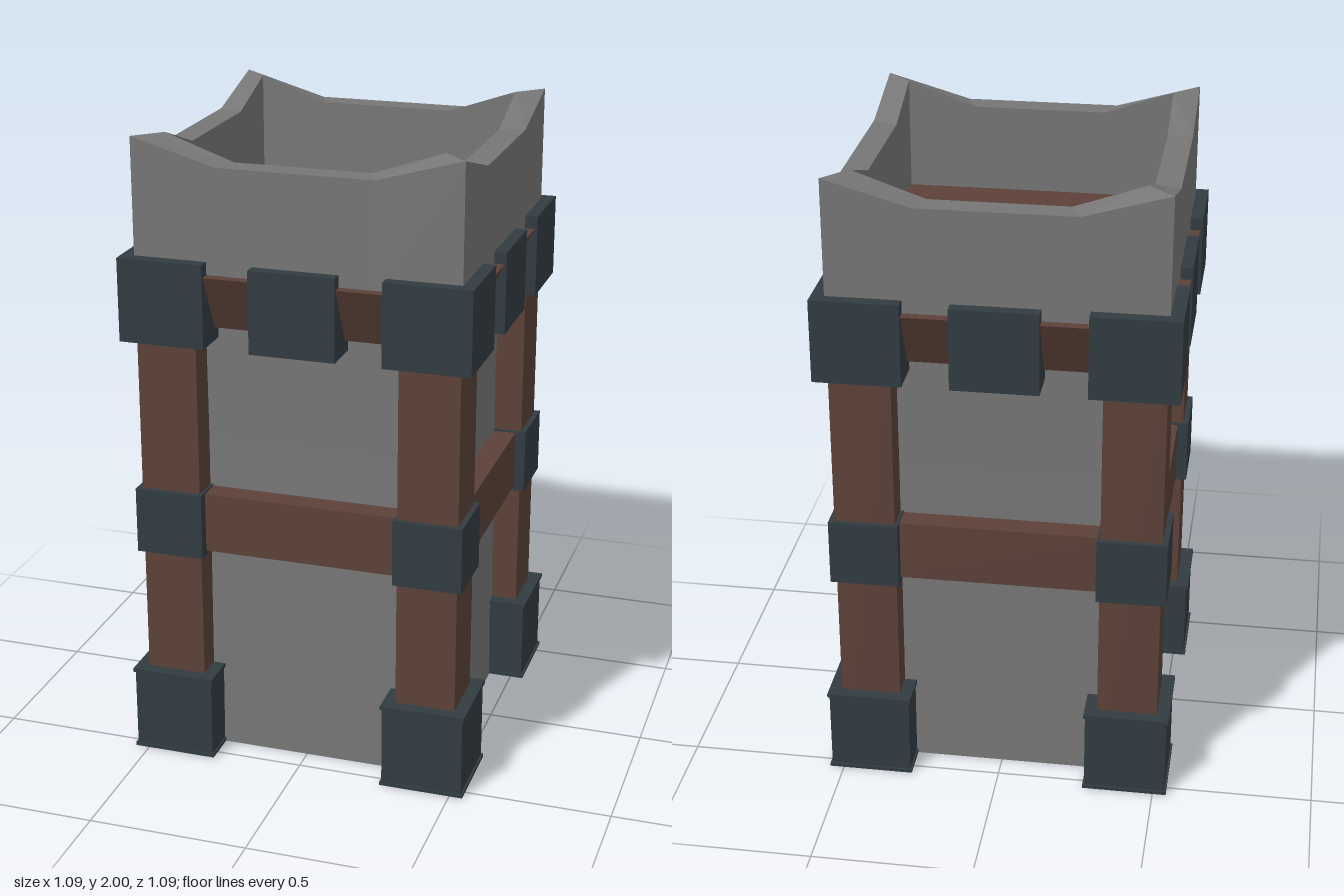
import * as THREE from 'three';

export function createModel() {
  const model = new THREE.Group();
  const paint = (name, color) => {
    const m = new THREE.MeshStandardMaterial({ color });
    m.name = name;
    return m;
  };
  const stone = paint('stone', 0x767676);
  const wood = paint('wood', 0x5c4138);
  const iron = paint('iron', 0x313b41);

  const add = (name, geometry, material, parent = model) => {
    const mesh = new THREE.Mesh(geometry, material);
    mesh.name = name;
    parent.add(mesh);
    return mesh;
  };
  // Box given by its limits on each axis
  const box = (name, material, [x0, x1], [y0, y1], [z0, z1], parent) => {
    const mesh = add(name, new THREE.BoxGeometry(x1 - x0, y1 - y0, z1 - z0), material, parent);
    mesh.position.set((x0 + x1) / 2, (y0 + y1) / 2, (z0 + z1) / 2);
    return mesh;
  };
  // Flat-faced strip surface between two rows of points
  const strip = (rows) => {
    const pos = [];
    for (let r = 0; r < rows.length - 1; r++) {
      for (let i = 0; i < rows[r].length - 1; i++) {
        const a = rows[r][i], b = rows[r][i + 1], c = rows[r + 1][i + 1], d = rows[r + 1][i];
        pos.push(...a, ...b, ...c, ...a, ...c, ...d);
      }
    }
    const g = new THREE.BufferGeometry();
    g.setAttribute('position', new THREE.Float32BufferAttribute(pos, 3));
    g.computeVertexNormals();
    return g;
  };

  // One side of the stone wall: slightly hollow shaft, corbel, dipped parapet, inner face
  const row = (half, bend, yCorner, yMiddle = yCorner) => [
    [-half, yCorner, half], [-bend, yMiddle, half], [bend, yMiddle, half], [half, yCorner, half],
  ];
  const wallRows = [
    row(0.425, 0.2, 0), row(0.417, 0.2, 0.5), row(0.41, 0.2, 1.05), row(0.415, 0.2, 1.42),
    row(0.503, 0.24, 1.59), row(0.503, 0.24, 2, 1.925), row(0.425, 0.21, 2, 1.925),
    row(0.425, 0.21, 1.65),
  ];

  // Upper beam has a leaning front face
  const beamSection = new THREE.Shape([
    new THREE.Vector2(-0.36, 1.42), new THREE.Vector2(-0.36, 1.6),
    new THREE.Vector2(-0.535, 1.6), new THREE.Vector2(-0.445, 1.42),
  ]);
  const upperBeam = new THREE.ExtrudeGeometry(beamSection, { depth: 0.72, bevelEnabled: false });
  upperBeam.translate(0, 0, -0.36).rotateY(Math.PI / 2);

  for (let i = 0; i < 4; i++) {
    const side = new THREE.Group();
    side.name = 'side' + (i + 1);
    side.rotation.y = i * Math.PI / 2;
    model.add(side);

    add('stoneWall', strip(wallRows), stone, side);
    add('upperBeam', upperBeam, wood, side);
    box('middleBeam', wood, [-0.36, 0.36], [0.7, 0.89], [0.38, 0.485], side);
    box('middleBracket', iron, [-0.133, 0.133], [1.38, 1.637], [0.38, 0.541], side);

    // Corner post with its iron fittings
    const span = (a, b) => [a, b];
    const square = (name, material, a, b, y0, y1) =>
      box(name, material, span(a, b), span(y0, y1), span(a, b), side);
    square('cornerPost', wood, 0.315, 0.503, 0.02, 1.5);
    square('postFoot', wood, 0.305, 0.515, 0, 0.03);
    square('upperBracket', iron, 0.275, 0.543, 1.38, 1.64);
    square('jointBracket', iron, 0.305, 0.52, 0.685, 0.895);
    square('baseCap', iron, 0.281, 0.537, 0.006, 0.272);
    square('baseCapTopRim', iron, 0.276, 0.543, 0.268, 0.28);
    square('baseCapBottomRim', iron, 0.276, 0.543, 0.003, 0.014);
  }

  // Roof floor inside the parapet and closed underside
  box('roofFloor', wood, [-0.425, 0.425], [1.6, 1.65], [-0.425, 0.425]);
  const underside = add('underside', new THREE.PlaneGeometry(0.85, 0.85), stone);
  underside.rotation.x = Math.PI / 2;
  return model;
}
